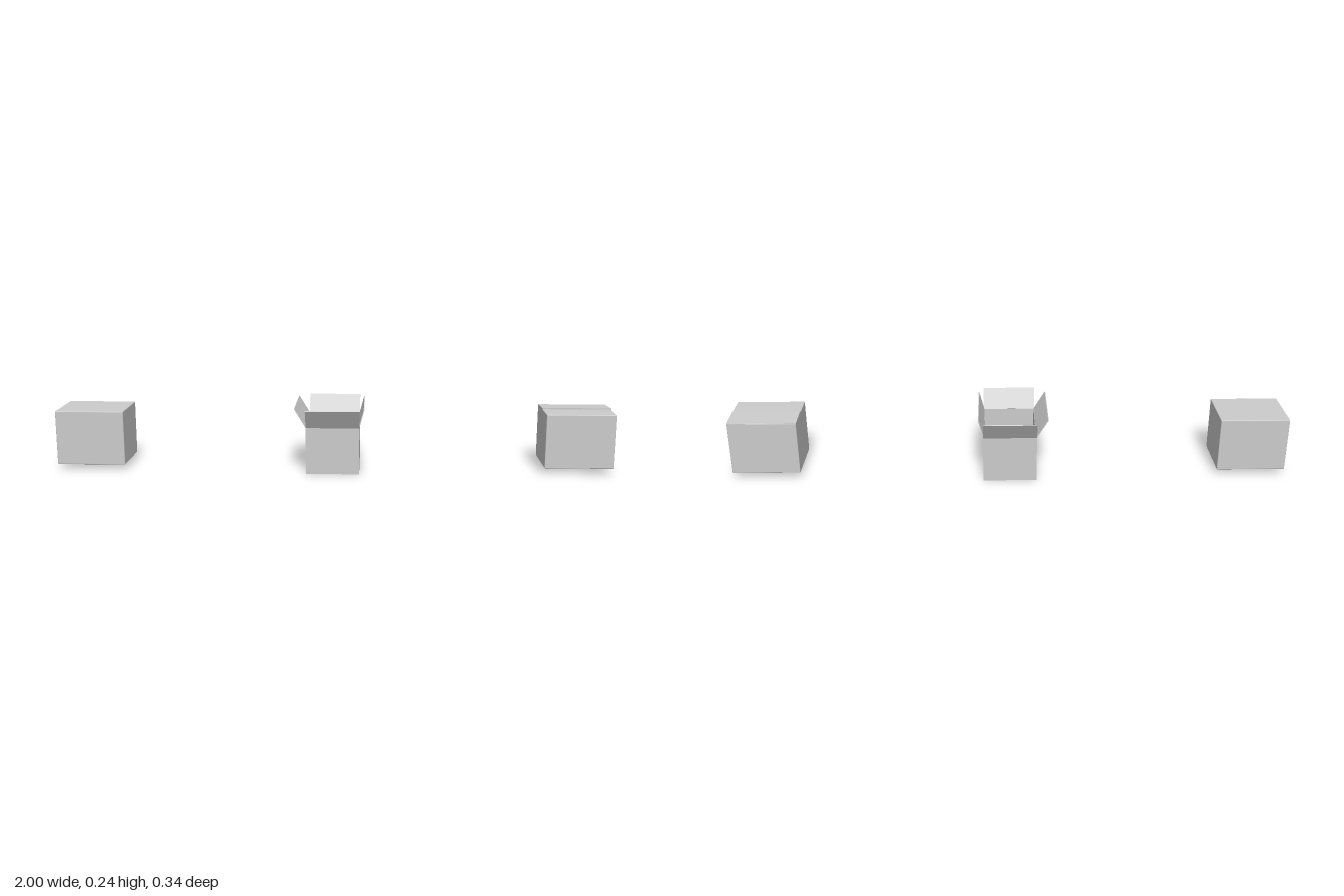
import * as THREE from 'three';
import { RoundedBoxGeometry } from 'three/addons/geometries/RoundedBoxGeometry.js';

const material = new THREE.MeshStandardMaterial({ color: 0xcccccc });
const T = 0.003; // cardboard thickness

function add(parent, name, geometry, x, y, z) {
  const mesh = new THREE.Mesh(geometry, material);
  mesh.name = name;
  mesh.position.set(x, y, z);
  parent.add(mesh);
  return mesh;
}

// Closed carton with slightly softened edges
function closedBox(name, x) {
  const box = new THREE.Group();
  box.name = name;
  box.position.x = x;
  add(box, 'closedBody', new RoundedBoxGeometry(0.246, 0.196, 0.197, 2, 0.003), 0, 0.118, 0.001);
  return box;
}

// Carton with four walls, a floor and four flaps folded outwards
function openBox() {
  const box = new THREE.Group();
  box.name = 'openBox';
  box.position.set(-0.002, 0, 0);
  const hx = 0.095, hz = 0.129, h = 0.168, rise = 0.068;
  add(box, 'floor', new THREE.BoxGeometry(hx * 2, T, hz * 2), 0, T / 2, 0);

  // direction outwards, half depth, panel width, outward reach of the flap
  const sides = [
    ['front', 0, hz, hx * 2, 0.042],
    ['left', Math.PI / 2, hx, hz * 2, 0.018],
    ['back', Math.PI, hz, hx * 2, 0.042],
    ['right', -Math.PI / 2, hx, hz * 2, 0.041],
  ];
  for (const [name, angle, depth, width, reach] of sides) {
    const side = new THREE.Group();
    side.name = name + 'Side';
    side.rotation.y = angle;
    add(side, name + 'Wall', new THREE.BoxGeometry(width, h, T), 0, h / 2, depth - T / 2);
    const flap = new THREE.BoxGeometry(width, Math.hypot(rise, reach), T);
    add(side, name + 'Flap', flap, 0, h + rise / 2, depth - T / 2 + reach / 2)
      .rotation.x = Math.atan2(reach, rise);
    box.add(side);
  }
  return box;
}

export function createModel() {
  const model = new THREE.Group();
  model.name = 'cardboardBoxes';
  model.add(closedBox('flatTopBox', -0.877), openBox());

  // Second closed carton, its rear top flap lifted along the seam
  const lifted = closedBox('liftedFlapBox', 0.877);
  const profile = new THREE.Shape([
    new THREE.Vector2(0, 0.213),
    new THREE.Vector2(0.097, 0.213),
    new THREE.Vector2(0.097, 0.2155),
    new THREE.Vector2(0, 0.2205),
  ]);
  const flap = new THREE.ExtrudeGeometry(profile, { depth: 0.246, bevelEnabled: false });
  flap.translate(0, 0, -0.123).rotateY(Math.PI / 2);
  add(lifted, 'liftedFlap', flap, 0, 0, 0);
  model.add(lifted);
  return model;
}
